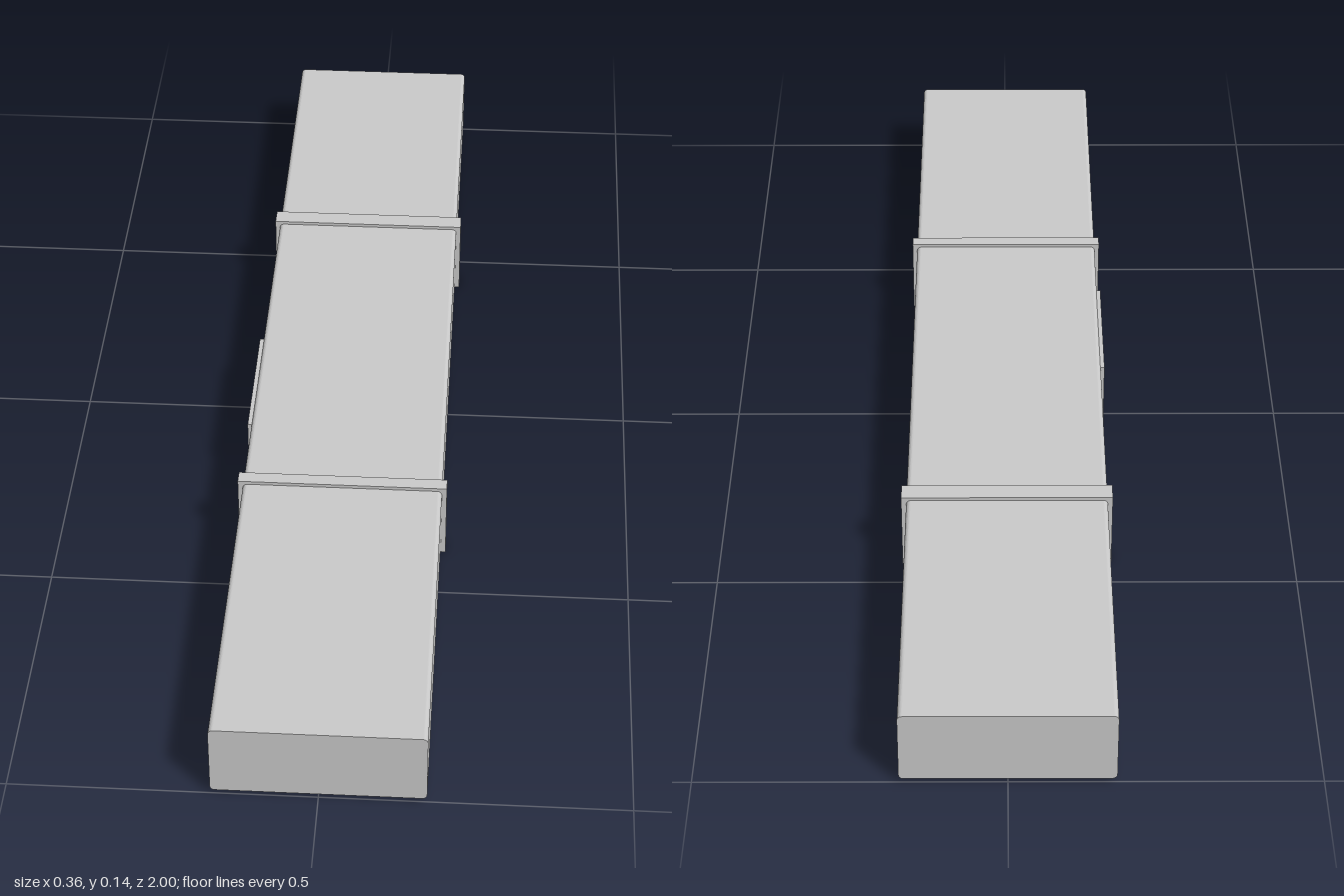
import * as THREE from 'three';

const W = 0.173, Y0 = 0.007, Y1 = 0.137, R = 0.008; // duct section
const WIN = { z0: -0.03, z1: 0.21, y0: 0.021, y1: 0.123 }; // side opening

export function createModel() {
  const group = new THREE.Group();
  const material = new THREE.MeshStandardMaterial({ color: 0xcccccc });
  const add = (name, geometry) => {
    const mesh = new THREE.Mesh(geometry, material);
    mesh.name = name;
    group.add(mesh);
    return mesh;
  };

  // Rounded duct section, optionally with a pocket cut in from the -x side
  const section = (pocket) => {
    const s = new THREE.Shape();
    s.moveTo(-W + R, Y0);
    s.lineTo(W - R, Y0);
    s.absarc(W - R, Y0 + R, R, -Math.PI / 2, 0);
    s.lineTo(W, Y1 - R);
    s.absarc(W - R, Y1 - R, R, 0, Math.PI / 2);
    s.lineTo(-W + R, Y1);
    s.absarc(-W + R, Y1 - R, R, Math.PI / 2, Math.PI);
    if (pocket) {
      s.lineTo(-W, WIN.y1);
      s.lineTo(W - 0.015, WIN.y1);
      s.lineTo(W - 0.015, WIN.y0);
      s.lineTo(-W, WIN.y0);
    }
    s.lineTo(-W, Y0 + R);
    s.absarc(-W + R, Y0 + R, R, Math.PI, Math.PI * 1.5);
    return s;
  };
  const ductPart = (name, z0, z1, pocket) => {
    const geometry = new THREE.ExtrudeGeometry(section(pocket), {
      depth: z1 - z0, bevelEnabled: false, curveSegments: 5,
    });
    add(name, geometry.translate(0, 0, z0));
  };
  ductPart('rearDuct', -1, WIN.z0, false);
  ductPart('openDuct', WIN.z0, WIN.z1, true);
  ductPart('frontDuct', WIN.z1, 1, false);

  // Joint collars around the duct
  for (const [name, z, width] of [['rearCollar', -0.43, 0.035], ['frontCollar', 0.38, 0.025]]) {
    add(name, new THREE.BoxGeometry(0.363, 0.143, width)).position.set(0, 0.0715, z);
  }

  // Thin raised frame around the side opening
  const rect = (path, z0, z1, y0, y1) => {
    path.moveTo(z0, y0);
    path.lineTo(z1, y0);
    path.lineTo(z1, y1);
    path.lineTo(z0, y1);
    path.closePath();
    return path;
  };
  const m = 0.009;
  const frame = rect(new THREE.Shape(), WIN.z0 - m, WIN.z1 + m, WIN.y0 - m, WIN.y1 + m);
  frame.holes.push(rect(new THREE.Path(), WIN.z0, WIN.z1, WIN.y0, WIN.y1));
  const frameGeometry = new THREE.ExtrudeGeometry(frame, { depth: 0.008, bevelEnabled: false });
  frameGeometry.rotateY(-Math.PI / 2).translate(-W + 0.001, 0, 0);
  add('openingFrame', frameGeometry);

  return group;
}
